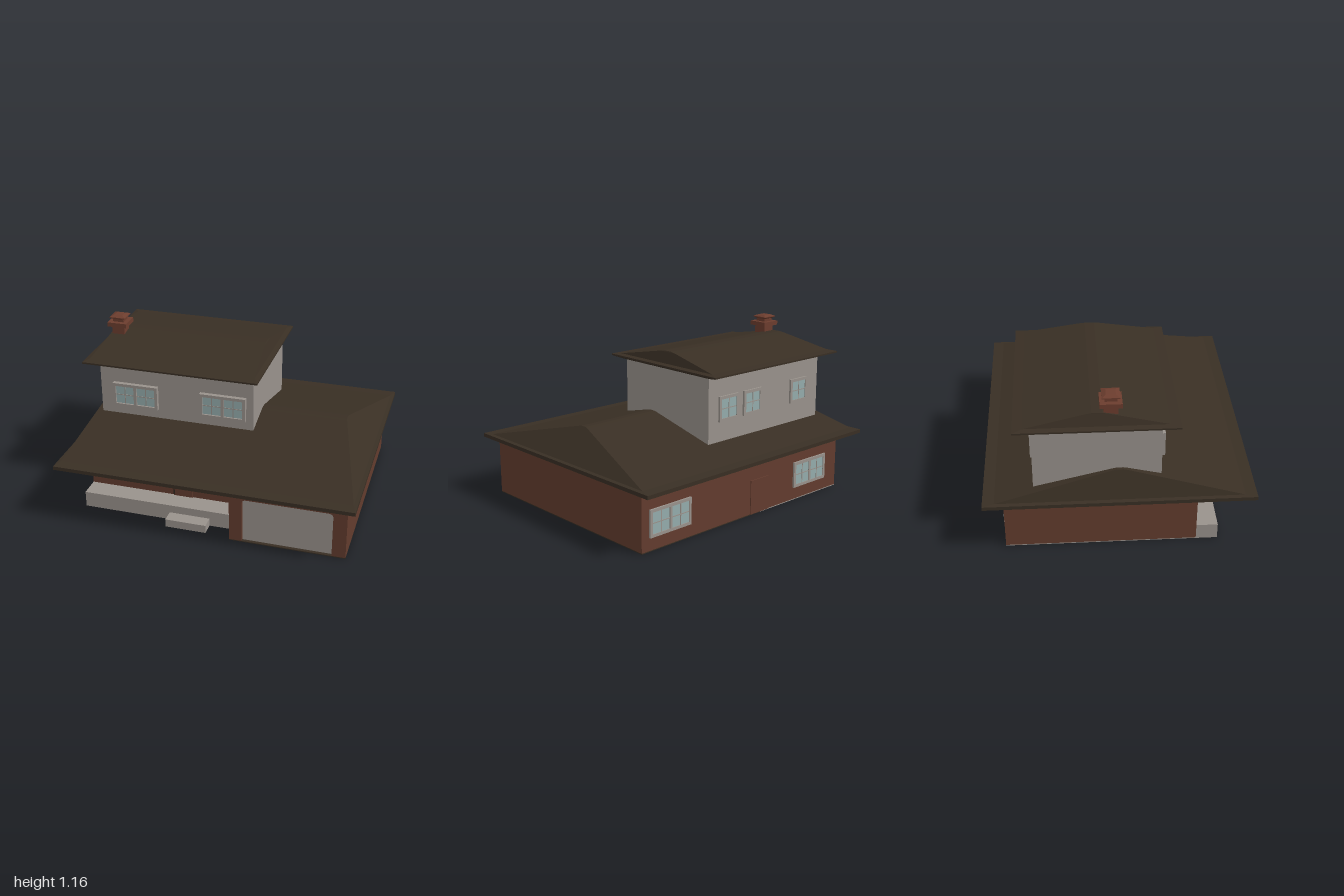
import * as THREE from 'three';

const mat = (name, color) => Object.assign(new THREE.MeshStandardMaterial({ color }), { name });

export function createModel() {
  const brick = mat('brick', 0x633c2e);
  const stucco = mat('warm grey', 0x99928c);
  const roofing = mat('roof brown', 0x392f24);
  const glass = mat('window glass', 0x95adad);
  const chimneyBrick = mat('chimney brick', 0x6c3d2e);
  const dark = mat('dark metal', 0x2a211a);

  const house = new THREE.Group();
  house.name = 'house';

  const add = (name, geometry, material, parent = house) => {
    const mesh = new THREE.Mesh(geometry, material);
    mesh.name = name;
    parent.add(mesh);
    return mesh;
  };

  // Box given by its limits on each axis
  const box = (name, material, [x0, x1], [y0, y1], [z0, z1], parent = house) => {
    const mesh = add(name, new THREE.BoxGeometry(x1 - x0, y1 - y0, z1 - z0), material, parent);
    mesh.position.set((x0 + x1) / 2, (y0 + y1) / 2, (z0 + z1) / 2);
    return mesh;
  };

  // Solid through stacked rectangles [x0, x1, z0, z1, y], flat shaded
  const stack = (rects) => {
    const rings = rects.map(([x0, x1, z0, z1, y]) => [[x0, y, z1], [x1, y, z1], [x1, y, z0], [x0, y, z0]]);
    const pos = [];
    const quad = (a, b, c, d) => pos.push(...a, ...b, ...c, ...a, ...c, ...d);
    for (let r = 0; r < rings.length - 1; r++) {
      for (let i = 0; i < 4; i++) {
        const j = (i + 1) % 4;
        quad(rings[r][i], rings[r][j], rings[r + 1][j], rings[r + 1][i]);
      }
    }
    const [a, b, c, d] = rings[0];
    quad(d, c, b, a);
    quad(...rings[rings.length - 1]);
    const geo = new THREE.BufferGeometry();
    geo.setAttribute('position', new THREE.Float32BufferAttribute(pos, 3));
    geo.computeVertexNormals();
    return geo;
  };

  // Ground floor
  const f = 0.006;
  box('houseWalls', brick, [-0.89, 0.17], [f, 0.4], [-0.74, 0.5]);
  box('garageWalls', brick, [0.17, 0.94], [f, 0.4], [-0.74, 0.73]);
  box('houseFloor', stucco, [-0.89, -0.1], [0, f], [-0.74, 0.5]);
  box('middleFloor', roofing, [-0.1, 0.17], [0, f], [-0.74, 0.5]);
  box('garageFloor', roofing, [0.17, 0.94], [0, f], [-0.74, 0.76]);

  // Garage front with a round-cornered opening
  const front = new THREE.Shape();
  front.moveTo(0.17, f);
  front.lineTo(0.255, f);
  front.lineTo(0.255, 0.29);
  front.quadraticCurveTo(0.255, 0.32, 0.285, 0.32);
  front.lineTo(0.82, 0.32);
  front.quadraticCurveTo(0.85, 0.32, 0.85, 0.29);
  front.lineTo(0.85, f);
  front.lineTo(0.94, f);
  front.lineTo(0.94, 0.4);
  front.lineTo(0.17, 0.4);
  const frontGeo = new THREE.ExtrudeGeometry(front, { depth: 0.03, bevelEnabled: false, curveSegments: 6 });
  add('garageFront', frontGeo, brick).position.z = 0.73;
  box('garageDoor', stucco, [0.255, 0.85], [f, 0.32], [0.73, 0.738]);

  // Porch and step
  box('porch', stucco, [-0.89, 0.17], [0, 0.11], [0.5, 0.64]);
  box('porchStep', stucco, [-0.28, 0], [0, 0.055], [0.64, 0.73]);

  // Upper storey
  box('upperWalls', stucco, [-0.89, 0.195], [0.41, 0.94], [-0.545, 0.26]);

  // Roofs: sloping soffit, flat brim, then a steep-ended hip
  add('lowerRoof', stack([
    [-1, 1, -0.865, 0.862, 0.395],
    [-1, 1, -0.865, 0.862, 0.42],
    [-0.975, 0.975, -0.79, 0.785, 0.424],
    [-0.912, 0.79, -0.045, 0.045, 0.605],
    [-0.91, 0.785, -0.02, 0.02, 0.61],
  ]), roofing);
  add('upperRoof', stack([
    [-0.9, 0.205, -0.555, 0.27, 0.926],
    [-0.975, 0.245, -0.652, 0.365, 0.944],
    [-0.975, 0.245, -0.652, 0.365, 0.955],
    [-0.94, 0.212, -0.59, 0.3, 0.962],
    [-0.912, 0.182, -0.215, -0.075, 1.034],
    [-0.91, 0.178, -0.175, -0.11, 1.04],
  ]), roofing);

  // Chimney, stacked about its own axis
  const chimney = new THREE.Group();
  chimney.name = 'chimney';
  chimney.position.set(-0.86, 0, -0.058);
  house.add(chimney);
  const tier = (name, rings) =>
    add(name, stack(rings.map(([h, y]) => [-h, h, -h, h, y])), chimneyBrick, chimney);
  tier('chimneyShaft', [[0.045, 0.95], [0.045, 1.085]]);
  tier('chimneyCollar', [[0.069, 1.08], [0.069, 1.11]]);
  tier('chimneyNeck', [[0.038, 1.11], [0.038, 1.135]]);
  tier('chimneyCap', [[0.04, 1.13], [0.056, 1.14], [0.056, 1.146], [0.03, 1.157]]);

  // Window facing +z: frame, panes with a cross of glazing bars
  const makeWindow = (name, x0, x1, y0, y1, z, depth, panes, back = false) => {
    const g = new THREE.Group();
    g.name = name;
    const w = x1 - x0, h = y1 - y0, b = 0.02;
    const pw = (w - b * (panes + 1)) / panes;
    const rim = new THREE.Shape();
    const rect = (path, l, r, bt, t) => {
      path.moveTo(l, bt);
      path.lineTo(r, bt);
      path.lineTo(r, t);
      path.lineTo(l, t);
      path.closePath();
      return path;
    };
    rect(rim, -w / 2, w / 2, -h / 2, h / 2);
    for (let i = 0; i < panes; i++) {
      const l = -w / 2 + b + i * (pw + b), r = l + pw, m = l + pw / 2, e = h / 2 - b;
      rim.holes.push(rect(new THREE.Path(), l, r, -e, e));
      const d = depth * 0.6;
      box('pane', glass, [l, r], [-e, e], [d - 0.005, d], g);
      box('uprightBar', stucco, [m - 0.003, m + 0.003], [-e, e], [d, d + 0.003], g);
      box('crossBar', stucco, [l, r], [-0.003, 0.003], [d, d + 0.003], g);
    }
    add('frame', new THREE.ExtrudeGeometry(rim, { depth, bevelEnabled: false }), stucco, g);
    g.position.set((x0 + x1) / 2, (y0 + y1) / 2, z);
    if (back) g.rotation.y = Math.PI;
    house.add(g);
  };
  makeWindow('frontDoubleWindow', -0.75, -0.435, 0.177, 0.357, 0.5, 0.015, 2);
  makeWindow('frontSingleWindow', -0.1, 0.015, 0.187, 0.362, 0.5, 0.015, 1);
  makeWindow('upperFrontRightWindow', -0.795, -0.475, 0.62, 0.79, 0.26, 0.03, 2);
  makeWindow('upperFrontLeftWindow', -0.175, 0.145, 0.62, 0.79, 0.26, 0.03, 2);
  makeWindow('backLeftWindow', 0.54, 0.88, 0.09, 0.27, -0.74, 0.012, 2, true);
  makeWindow('backRightWindow', -0.76, -0.43, 0.09, 0.27, -0.74, 0.012, 2, true);
  for (const [x0, x1] of [[-0.075, 0.105], [-0.3, -0.125], [-0.77, -0.595]]) {
    makeWindow('upperBackWindow', x0, x1, 0.62, 0.79, -0.545, 0.014, 1, true);
  }

  // Doors
  box('frontDoor', brick, [-0.295, -0.16], [0.11, 0.355], [0.5, 0.508]);
  box('frontDoorPanel', brick, [-0.28, -0.175], [0.12, 0.342], [0.508, 0.512]);
  box('frontDoorKnob', dark, [-0.183, -0.171], [0.228, 0.24], [0.508, 0.522]);
  box('frontDoorHinge', dark, [-0.295, -0.288], [0.12, 0.245], [0.508, 0.512]);
  box('backDoor', brick, [-0.175, -0.005], [f, 0.24], [-0.746, -0.74]);

  return house;
}
